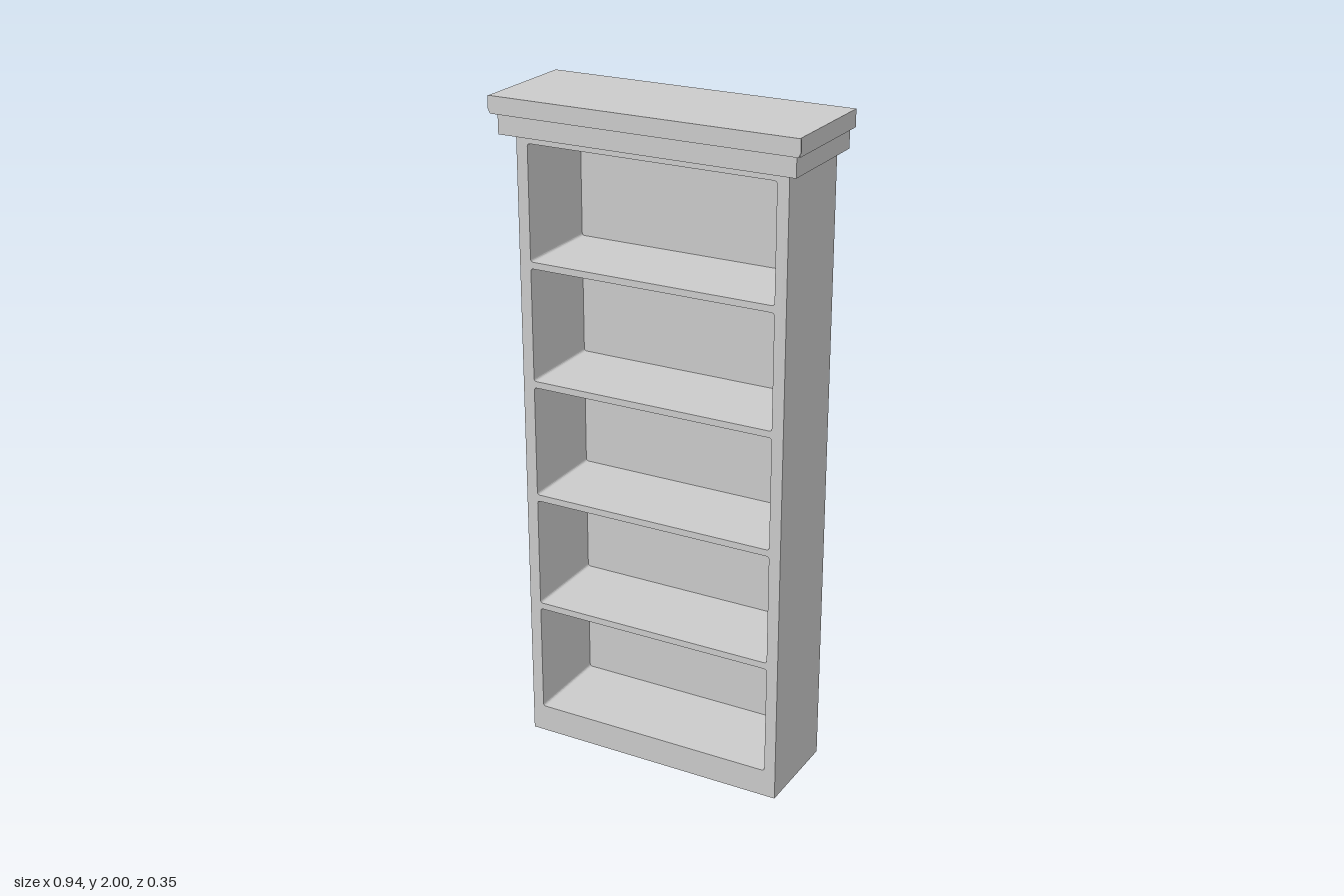
import * as THREE from 'three';

const material = new THREE.MeshStandardMaterial({ color: 0xcccccc });

const HALF_W = 0.415, INNER = 0.38, BACK = -0.173, FRONT = 0.12;
const BODY_TOP = 1.89, SHELF_BOTTOM = 0.065, PLINTH_DEPTH = 0.02;

function add(group, name, geometry) {
  const mesh = new THREE.Mesh(geometry, material);
  mesh.name = name;
  group.add(mesh);
  return mesh;
}

// Box given by its extents on each axis
function block(group, name, [x0, x1], [y0, y1], [z0, z1]) {
  const mesh = add(group, name, new THREE.BoxGeometry(x1 - x0, y1 - y0, z1 - z0));
  mesh.position.set((x0 + x1) / 2, (y0 + y1) / 2, (z0 + z1) / 2);
}

// Extrude a front-facing shape from z0 to z1
function slab(group, name, shape, z0, z1) {
  const geometry = new THREE.ExtrudeGeometry(shape, { depth: z1 - z0, bevelEnabled: false, curveSegments: 4 });
  add(group, name, geometry.translate(0, 0, z0));
}

const polygon = (points) => new THREE.Shape(points.map(([x, y]) => new THREE.Vector2(x, y)));

// Carcass outline with the space under the bottom shelf left open
const carcassOutline = () => polygon([
  [-HALF_W, 0], [-INNER, 0], [-INNER, SHELF_BOTTOM], [INNER, SHELF_BOTTOM], [INNER, 0],
  [HALF_W, 0], [HALF_W, BODY_TOP], [-HALF_W, BODY_TOP],
]);

// Opening with slightly rounded corners
function opening(y0, y1, r) {
  const p = new THREE.Path(), w = INNER;
  p.moveTo(-w + r, y0);
  p.lineTo(w - r, y0).quadraticCurveTo(w, y0, w, y0 + r);
  p.lineTo(w, y1 - r).quadraticCurveTo(w, y1, w - r, y1);
  p.lineTo(-w + r, y1).quadraticCurveTo(-w, y1, -w, y1 - r);
  p.lineTo(-w, y0 + r).quadraticCurveTo(-w, y0, -w + r, y0);
  return p;
}

export function createModel() {
  const model = new THREE.Group();
  model.name = 'bookcase';

  // Sides, shelves and header with five equal compartments
  const carcass = carcassOutline();
  for (let i = 0; i < 5; i++) {
    const y = 0.085 + i * 0.36;
    carcass.holes.push(opening(y, y + 0.34, 0.009));
  }
  slab(model, 'carcass', carcass, -0.162, FRONT);

  // Rear rim around the recessed back panel
  const rim = carcassOutline();
  rim.holes.push(polygon([[-INNER, 0.082], [INNER, 0.082], [INNER, 1.87], [-INNER, 1.87]]));
  slab(model, 'rearRim', rim, BACK, -0.162);
  block(model, 'backPanel', [-INNER, INNER], [0.08, 1.872], [-0.165, -0.16]);

  // Plinth closing the front below the bottom shelf
  block(model, 'plinth', [-INNER, INNER], [0, SHELF_BOTTOM], [FRONT - PLINTH_DEPTH, FRONT]);

  // Stepped crown with a shaped strip along its front
  block(model, 'crownLower', [-0.45, 0.45], [BODY_TOP, 1.95], [BACK, 0.155]);
  block(model, 'crownUpper', [-0.466, 0.466], [1.95, 2], [BACK, 0.168]);
  slab(model, 'crownStrip', polygon([
    [-0.463, 1.95], [0.463, 1.95], [0.47, 1.965], [0.468, 2], [-0.468, 2], [-0.47, 1.965],
  ]), 0.168, 0.173);

  return model;
}
